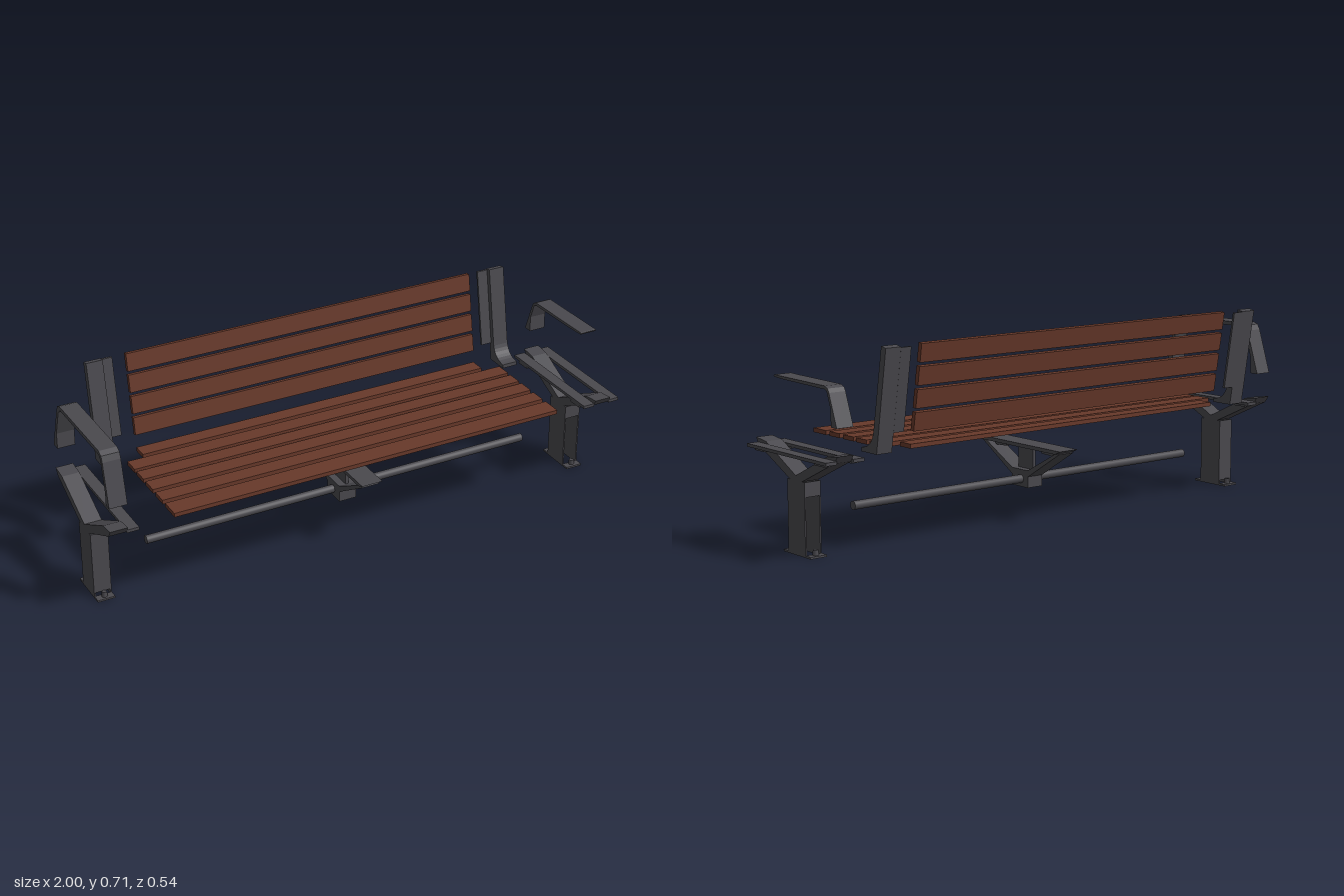
import * as THREE from 'three';

const metal = new THREE.MeshStandardMaterial({ color: 0x4a494e });
metal.name = 'dark grey metal';
const wood = new THREE.MeshStandardMaterial({ color: 0x68392a });
wood.name = 'brown wood';

const MID = -0.0225; // middle of the bench assembly along x

function add(parent, name, geometry, material = metal) {
  const mesh = new THREE.Mesh(geometry, material);
  mesh.name = name;
  parent.add(mesh);
  return mesh;
}

// Box given by its limits on each axis
function box(parent, name, [x0, x1], [y0, y1], [z0, z1], material) {
  const mesh = add(parent, name, new THREE.BoxGeometry(x1 - x0, y1 - y0, z1 - z0), material);
  mesh.position.set((x0 + x1) / 2, (y0 + y1) / 2, (z0 + z1) / 2);
  return mesh;
}

// Side profile of [z, y] points, extruded from x0 to x1
function prism(parent, name, profile, [x0, x1]) {
  const shape = profile instanceof THREE.Shape
    ? profile : new THREE.Shape(profile.map(([z, y]) => new THREE.Vector2(z, y)));
  const geo = new THREE.ExtrudeGeometry(shape, { depth: x1 - x0, bevelEnabled: false, curveSegments: 8 });
  geo.rotateY(-Math.PI / 2).translate(x1, 0, 0);
  return add(parent, name, geo);
}

function makeLeg(name, [x0, x1], railSides, open) {
  const leg = new THREE.Group();
  leg.name = name;
  const w = 0.005;
  // hollow post
  box(leg, 'postSide', [x0, x0 + w], [0, 0.25], [-0.02, 0.08]);
  box(leg, 'postSide', [x1 - w, x1], [0, 0.25], [-0.02, 0.08]);
  const y0 = open ? 0.2 : 0.02;
  box(leg, 'postFront', [x0 + w, x1 - w], [y0, 0.25], [0.075, 0.08]);
  box(leg, 'postBack', [x0 + w, x1 - w], [y0, 0.25], [-0.02, -0.015]);
  // foot flanges with bolts
  for (const s of [-1, 1]) {
    const edge = 0.03 + s * 0.05, tip = 0.03 + s * 0.08;
    box(leg, 'footFlange', [x0, x1], [0, 0.007], [Math.min(edge, tip), Math.max(edge, tip)]);
    const bolt = add(leg, 'footBolt', new THREE.CylinderGeometry(0.009, 0.011, 0.018, 6));
    bolt.position.set((x0 + x1) / 2, 0.016, 0.03 + s * 0.062);
  }
  // spreading seat arms
  prism(leg, 'seatArms', [
    [0.265, 0.362], [0.25, 0.338], [0.065, 0.25], [-0.005, 0.25], [-0.195, 0.338],
    [-0.212, 0.362], [-0.155, 0.355], [0.03, 0.266], [0.205, 0.355],
  ], [x0, x1]);
  // side rails that carry the seat
  for (const s of railSides) {
    const a = s > 0 ? x1 : x0 - 0.043;
    box(leg, 'seatRail', [a, a + 0.043], [0.336, 0.347], [-0.21, 0.255]);
    box(leg, 'railEnd', [a, a + 0.03], [0.327, 0.336], [0.17, 0.225]);
    box(leg, 'railEnd', [a, a + 0.03], [0.327, 0.336], [-0.18, -0.125]);
  }
  return leg;
}

export function createModel() {
  const bench = new THREE.Group();
  bench.name = 'bench';

  // Legs
  bench.add(makeLeg('rightLeg', [-0.998, -0.935], [1], false));
  bench.add(makeLeg('leftLeg', [0.892, 0.955], [-1, 1], true));

  // Seat slats, the rear one shorter to fit between the brackets
  const seat = new THREE.Group();
  seat.name = 'seat';
  bench.add(seat);
  const seatSlats = [[-0.2, -0.143], [-0.124, -0.062], [-0.046, 0.013], [0.029, 0.091], [0.11, 0.17], [0.19, 0.265]];
  seatSlats.forEach((z, i) => {
    const h = i === 0 ? 0.682 : 0.748;
    box(seat, 'seatSlat', [MID - h, MID + h], [0.353, 0.368], z, wood);
  });

  // Leaning back slats
  const slope = 0.163;
  const back = new THREE.Group();
  back.name = 'backrest';
  bench.add(back);
  for (let i = 0; i < 4; i++) {
    const y = 0.445 + i * 0.0765;
    const slat = add(back, 'backSlat', new THREE.BoxGeometry(1.364, 0.064, 0.017), wood);
    slat.position.set(MID, y, -0.211 - 0.164 * (y - 0.42));
    slat.rotation.x = -slope;
  }

  // Backrest brackets with a curved foot and an inner flange
  const bracket = new THREE.Shape();
  bracket.moveTo(-0.13, 0.352);
  bracket.lineTo(-0.13, 0.366);
  bracket.quadraticCurveTo(-0.192, 0.37, -0.2, 0.43);
  bracket.lineTo(-0.247, 0.707);
  bracket.lineTo(-0.272, 0.702);
  bracket.lineTo(-0.215, 0.352);
  for (const s of [-1, 1]) {
    const g = new THREE.Group();
    g.name = s < 0 ? 'rightBackBracket' : 'leftBackBracket';
    bench.add(g);
    const span = (a, b) => (s > 0 ? [MID + a, MID + b] : [MID - b, MID - a]);
    prism(g, 'bracketPost', bracket, span(0.768, 0.828));
    prism(g, 'bracketFlange', [[-0.217, 0.42], [-0.264, 0.7], [-0.272, 0.7], [-0.226, 0.418]], span(0.727, 0.768));
  }

  // Full armrest and shorter cantilever armrest
  prism(bench, 'loopArmrest', [
    [0.27, 0.452], [0.235, 0.605], [0.227, 0.626], [0.208, 0.636], [-0.13, 0.636], [-0.149, 0.629],
    [-0.16, 0.61], [-0.213, 0.452], [-0.178, 0.452], [-0.178, 0.51], [-0.145, 0.606],
    [-0.127, 0.622], [0.206, 0.622], [0.219, 0.608], [0.243, 0.5], [0.243, 0.452],
  ], [-0.998, -0.934]);
  prism(bench, 'shortArmrest', [
    [0.15, 0.584], [0.145, 0.586], [0.11, 0.585], [-0.147, 0.582], [-0.162, 0.575], [-0.17, 0.562],
    [-0.211, 0.452], [-0.178, 0.452], [-0.178, 0.51], [-0.157, 0.566], [-0.145, 0.571], [0.11, 0.576], [0.148, 0.579],
  ], [0.891, 0.955]);

  // Cross beam
  const beam = add(bench, 'crossBeam', new THREE.CylinderGeometry(0.015, 0.015, 1.514, 20));
  beam.rotation.z = Math.PI / 2;
  beam.position.set(MID, 0.138, 0.025);

  // Middle support with braces under its top plates
  const support = new THREE.Group();
  support.name = 'middleSupport';
  bench.add(support);
  const hub = [MID - 0.033, MID + 0.033];
  box(support, 'hub', hub, [0.11, 0.172], [-0.015, 0.075]);
  box(support, 'hubWeb', [MID - 0.006, MID + 0.006], [0.172, 0.252], [-0.01, 0.07]);
  prism(support, 'topPlate', [
    [0.255, 0.266], [0.225, 0.253], [0.1, 0.253], [-0.04, 0.253], [-0.17, 0.253], [-0.197, 0.266],
  ], [MID - 0.04, MID + 0.04]);
  for (const s of [-1, 1]) {
    const z = (d) => 0.03 + s * d;
    prism(support, 'brace', [[z(0.03), 0.15], [z(0.045), 0.15], [z(0.215), 0.254], [z(0.195), 0.254], [z(0.03), 0.165]], hub);
    prism(support, 'plateMount', [[z(0.09), 0.254], [z(0.1), 0.24], [z(0.155), 0.238], [z(0.17), 0.254]], [MID - 0.015, MID + 0.015]);
  }
  return bench;
}
